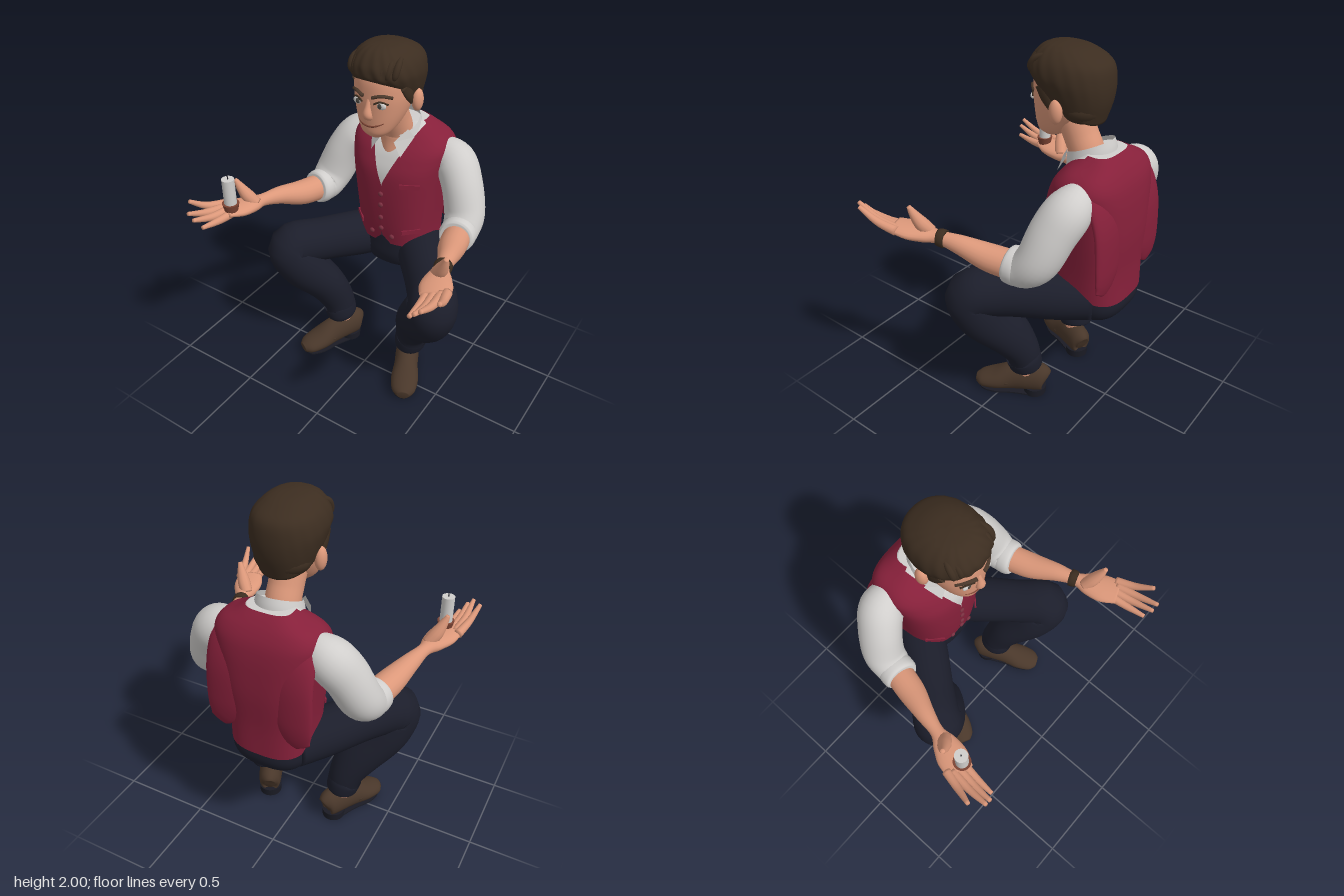
import * as THREE from 'three';

const V = (x, y, z) => new THREE.Vector3(x, y, z);

// Smoothly resample rows of numbers (Catmull-Rom)
function smooth(rows, k = 6) {
  const out = [], at = i => rows[Math.min(Math.max(i, 0), rows.length - 1)];
  for (let i = 0; i < rows.length - 1; i++)
    for (let j = 0; j < k; j++) {
      const t = j / k, a = at(i - 1), d = at(i + 2), b = at(i), c = at(i + 1);
      out.push(b.map((p, n) => 0.5 * (2 * p + (c[n] - a[n]) * t + (2 * a[n] - 5 * p + 4 * c[n] - d[n]) * t * t
        + (3 * p - a[n] - 3 * c[n] + d[n]) * t * t * t)));
    }
  out.push(rows[rows.length - 1]);
  return out;
}

// Skin a list of point rings; closed rings get end caps
function skin(rings, closed = true) {
  const n = rings[0].length, pos = [], idx = [];
  rings.forEach(r => r.forEach(p => pos.push(p.x, p.y, p.z)));
  for (let i = 0; i < rings.length - 1; i++)
    for (let j = 0; j < (closed ? n : n - 1); j++) {
      const a = i * n + j, b = i * n + (j + 1) % n;
      idx.push(a, b, a + n, b, b + n, a + n);
    }
  if (closed) [0, rings.length - 1].forEach((i, top) => {
    const c = V(0, 0, 0), id = pos.length / 3;
    rings[i].forEach(p => c.addScaledVector(p, 1 / n));
    pos.push(c.x, c.y, c.z);
    for (let j = 0; j < n; j++) {
      const a = i * n + j, b = i * n + (j + 1) % n;
      idx.push(id, top ? a : b, top ? b : a);
    }
  });
  const g = new THREE.BufferGeometry();
  g.setAttribute('position', new THREE.Float32BufferAttribute(pos, 3));
  g.setIndex(idx);
  g.computeVertexNormals();
  return g;
}

// Limb along rows [x, y, z, r1, r2]; s mirrors x, ref sets the section's orientation
function limb(rows, { s = 1, ref = V(1, 0, 0), seg = 16, k = 6 } = {}) {
  const pts = smooth(rows.map(r => [r[0] * s, r[1], r[2], r[3], r[4] ?? r[3]]), k);
  const P = pts.map(p => V(p[0], p[1], p[2]));
  return skin(pts.map((p, i) => {
    const t = P[Math.min(i + 1, P.length - 1)].clone().sub(P[Math.max(i - 1, 0)]).normalize();
    const a = ref.clone().cross(t).normalize(), b = t.clone().cross(a);
    return Array.from({ length: seg }, (_, j) => {
      const q = j / seg * Math.PI * 2;
      return P[i].clone().addScaledVector(a, p[3] * Math.cos(q)).addScaledVector(b, p[4] * Math.sin(q));
    });
  }));
}

// Upright body from rows [y, zCentre, rx, rz, tilt]; n and nb square off front and back,
// gap(y) is the half width of a front opening
function body(rows, { n = 2.2, nb = n, seg = 48, gap = null, ripple = () => 1 } = {}) {
  return skin(smooth(rows).map(([y, zc, rx, rz, tilt = 0]) => {
    const w = gap ? Math.min(Math.max(gap(y), 0), rx * 0.97) : 0;
    const a0 = Math.asin(Math.pow(w / rx, n / 2));
    return Array.from({ length: seg }, (_, j) => {
      const q = gap ? a0 + (2 * Math.PI - 2 * a0) * j / (seg - 1) : j / seg * 2 * Math.PI;
      const e = 2 / (Math.cos(q) < 0 ? nb : n), m = ripple(q, y);
      const f = v => Math.sign(v) * Math.pow(Math.abs(v), e);
      return V(rx * m * f(Math.sin(q)), y + tilt * f(Math.cos(q)), zc + rz * m * f(Math.cos(q)));
    });
  }), !gap);
}

// Front depth of a body at (x, y)
function frontZ(rows, x, y, n = 2.2) {
  const r = smooth(rows), i = Math.max(1, r.findIndex(e => e[0] >= y));
  const t = (y - r[i - 1][0]) / (r[i][0] - r[i - 1][0]);
  const [, zc, rx, rz] = r[i].map((v, k) => r[i - 1][k] + (v - r[i - 1][k]) * t);
  return zc + rz * Math.pow(Math.max(0, 1 - Math.pow(Math.abs(x) / rx, n)), 1 / n);
}

export function createModel() {
  const model = new THREE.Group();
  const M = {};
  Object.entries({ skin: 0xdc987a, hair: 0x3c2d20, shirt: 0xd0cecc, vest: 0x86203a, vestTrim: 0x7a3040,
    trousers: 0x1c1e2b, shoe: 0x49372a, sole: 0x1a1b24, iris: 0x4a4640, lips: 0x7c4434 }).forEach(([k, c]) => {
    M[k] = new THREE.MeshStandardMaterial({ color: c });
    M[k].name = k;
  });
  M.vest.side = M.shirt.side = THREE.DoubleSide;
  const add = (name, geo, mat, x = 0, y = 0, z = 0, parent = model) => {
    const m = new THREE.Mesh(geo, M[mat]);
    m.name = name;
    m.position.set(x, y, z);
    parent.add(m);
    return m;
  };
  const ball = (name, mat, x, y, z, a, b, c) => add(name, new THREE.SphereGeometry(1, 24, 16), mat, x, y, z).scale.set(a, b, c);
  const UP = V(0, 1, 0);

  // Torso: vest with a V opening over a shirt
  const torso = [[.775, -.395, .217, .207, .03], [.92, -.385, .225, .215, .01], [1.1, -.385, .245, .225, 0], [1.25, -.385, .265, .22, 0],
    [1.34, -.395, .28, .2, 0], [1.4, -.405, .28, .175, 0], [1.45, -.415, .245, .14, 0], [1.49, -.42, .17, .105, 0], [1.52, -.42, .12, .075, 0]];
  add('vest', body(torso, { n: 2.5, nb: 3, seg: 64, gap: y => y > 1 ? (y - 1.2) * .44 : (.84 - y) * .8 }), 'vest');
  add('shirtBody', body(torso.slice(2).map(r => [r[0], r[1], r[2] * .965, r[3] * .965]), { n: 2.5 }), 'shirt');
  add('pelvis', body([[.595, -.39, .1, .1], [.635, -.395, .18, .17], [.7, -.4, .213, .2], [.78, -.397, .213, .2], [.84, -.392, .208, .195]],
    { n: 2.4, nb: 2.8 }), 'trousers');
  const tz = (x, y) => frontZ(torso, x, y, 2.5);
  [[0, 1.14], [0, 1.07], [0, .985], [0, .91], [.065, .865], [-.065, .865]].forEach(([x, y]) =>
    ball('vestButton', 'vestTrim', x, y, tz(x, y) + .003, .015, .015, .009));
  [[.16, 1.22, .11], [.165, .915, .11], [-.165, .915, .11]].forEach(([x, y, w]) => {
    const p = add('pocketWelt', new THREE.BoxGeometry(w, .026, .009), 'vest', x, y, tz(x, y) + .002);
    p.rotation.y = -Math.atan2(tz(x + .04, y) - tz(x - .04, y), .08);
  });

  // Collar and neck
  add('collar', body([[1.45, -.345, .128, .125, -.05], [1.49, -.34, .118, .122, -.05], [1.525, -.335, .108, .115, -.05]],
    { n: 2, gap: y => .075 - (y - 1.45) * .2 }), 'shirt');
  add('neck', limb([[0, 1.33, -.26, .05], [0, 1.42, -.305, .085], [0, 1.48, -.312, .088], [0, 1.56, -.275, .087], [0, 1.64, -.24, .09]], { seg: 24 }), 'skin');

  // Head
  const head = [[1.53, -.11, .04, .04], [1.56, -.125, .078, .083], [1.61, -.15, .108, .115], [1.68, -.175, .133, .145],
    [1.76, -.19, .147, .163], [1.85, -.2, .143, .165], [1.92, -.2, .1, .12]];
  const hz = (x, y) => frontZ(head, x, y);
  add('head', body(head), 'skin');
  add('nose', limb([[0, 1.76, -.04, .01, .012], [0, 1.715, -.028, .015, .015], [0, 1.672, -.022, .022, .025], [0, 1.65, -.036, .014, .022]]), 'skin');
  add('mouth', limb([-.07, -.035, 0, .035, .075].map((x, i) => {
    const y = [1.62, 1.608, 1.604, 1.61, 1.628][i];
    return [x, y, hz(x, y), i % 4 ? .005 : .002];
  }), { ref: UP, seg: 8 }), 'lips');

  // Hair: swept-back cap with strands, rounded nape and a raised quiff
  const ripple = (q, y) => 1 + .014 * Math.sin(q * 18 + y * 25) * Math.pow(.5 + .5 * Math.cos(q), .7)
    * THREE.MathUtils.smoothstep(y, 1.74, 1.84);
  add('hair', body([[1.74, -.215, .15, .176, .1], [1.8, -.22, .169, .203, .055], [1.86, -.22, .178, .21, .02], [1.92, -.214, .163, .197, 0],
    [1.965, -.198, .126, .147, 0], [1.99, -.185, .08, .09, 0], [2, -.18, .015, .015, 0]], { seg: 96, ripple }), 'hair');
  ball('hairNape', 'hair', 0, 1.715, -.3, .143, .085, .112);
  for (let i = 0; i < 9; i++) {
    const x = (i - 4) * .031, b = 2.4 * x * x;
    add('quiffLock', limb([[x * .9 - .008, 1.84 + .008 * (i % 3), -.05 - b, .006], [x, 1.88, -.029 - b, .016],
      [x + .004, 1.93, -.055 - b, .017], [x * .8 + .008, 1.962, -.13 - b, .008]], { seg: 10 }), 'hair');
  }

  // Both sides of the body
  [1, -1].forEach(s => {
    const L = (name, rows, mat, o = {}) => add(name, limb(rows, { s, ...o }), mat);

    // Face details
    ball('ear', 'skin', s * .16, 1.712, -.235, .029, .06, .035);
    const e = hz(.065, 1.727);
    ball('eye', 'shirt', s * .065, 1.727, e - .003, .029, .02, .012);
    ball('iris', 'iris', s * .063, 1.727, e + .006, .012, .014, .006);
    L('upperLid', [.034, .065, .098].map((x, i) => [x, i === 1 ? 1.749 : 1.735, hz(x, 1.74) + .004, .005]), 'hair', { ref: UP, seg: 8 });
    L('eyebrow', [[.025, 1.767], [.07, 1.78], [.112, 1.768]].map(([x, y], i) => [x, y, hz(x, y) + .002, .008, .017 - i * .004]),
      'shoe', { ref: V(0, 0, 1), seg: 10 });
    L('sideburn', [[.14, 1.82, -.14, .04, .014], [.146, 1.76, -.175, .034, .014], [.146, 1.705, -.2, .01, .006]], 'hair', { seg: 10 });

    // Collar wing and loose vest back
    const wing = new THREE.BufferGeometry().setFromPoints([V(s * .045, 1.45, -.207), V(s * .09, 1.375, -.2), V(s * .13, 1.475, -.275),
      V(s * .045, 1.45, -.207), V(s * .13, 1.475, -.275), V(s * .095, 1.515, -.265)]);
    if (s < 0) wing.setIndex([0, 2, 1, 3, 5, 4]);
    wing.computeVertexNormals();
    add('collarWing', wing, 'shirt');
    L('vestBackFlap', [[.18, 1.42, -.46, .03, .08], [.178, 1.33, -.52, .04, .105], [.178, 1.2, -.562, .034, .112], [.186, 1.02, -.574, .028, .107],
      [.212, .92, -.574, .02, .082], [.24, .868, -.572, .008, .048]], 'vest', { seg: 24 });

    // Sleeve with rolled cuff
    L('sleeve', [[.2, 1.34, -.425, .08, .1], [.3, 1.315, -.42, .115, .115], [.372, 1.22, -.383, .118, .11], [.425, 1.08, -.335, .11, .11],
      [.442, 1.015, -.265, .098, .1], [.448, 1.015, -.2, .088, .09]], 'shirt', { seg: 28 });
    L('sleeveCuff', [[.444, 1.013, -.25, .09], [.447, 1.013, -.235, .098], [.452, 1.015, -.19, .096], [.455, 1.017, -.172, .082]], 'shirt', { seg: 28, k: 3 });

    // Forearm, palm, fingers, thumb
    L('forearm', [[.45, 1.01, -.22, .075], [.485, 1.025, -.08, .072, .07], [.53, 1.065, .06, .05], [.56, 1.083, .17, .036, .034],
      [.58, 1.088, .24, .062, .036], [.607, 1.096, .32, .08, .033], [.637, 1.11, .4, .068, .022]], 'skin', { ref: UP, seg: 20 });
    [[[.68, 1.112, .35], [.708, 1.145, .45], [.735, 1.21, .54]], [[.66, 1.108, .37], [.675, 1.135, .49], [.68, 1.19, .607]],
      [[.63, 1.105, .38], [.643, 1.117, .49], [.65, 1.16, .607]], [[.595, 1.1, .36], [.607, 1.098, .47], [.615, 1.115, .585]]].forEach(f =>
      L('finger', f.map((p, i) => [...p, [.025, .02, .011][i]]), 'skin', { ref: UP, seg: 12 }));
    L('thumb', [[.56, 1.095, .23, .034], [.592, 1.145, .255, .036], [.617, 1.2, .275, .025], [.635, 1.25, .29, .011]], 'skin', { seg: 12 });

    // Trouser leg, turn-up and ankle
    L('trouserLeg', [[.1, .73, -.44, .125, .13], [.21, .735, -.28, .135, .135], [.36, .745, -.08, .128, .125], [.468, .735, .06, .135, .135],
      [.42, .6, .03, .138, .15], [.325, .45, -.055, .115, .13], [.27, .32, -.105, .1, .1], [.25, .22, -.115, .092, .085]],
      'trousers', { seg: 28 });
    L('trouserTurnUp', [[.266, .28, -.11, .096, .09], [.262, .27, -.112, .102, .096], [.248, .21, -.116, .098, .09], [.246, .2, -.117, .086, .08]],
      'trousers', { seg: 28, k: 3 });
    L('ankle', [[.25, .25, -.115, .06], [.235, .12, -.12, .055]], 'skin');

    // Shoe, pointing outward
    const foot = new THREE.Group();
    foot.name = 'foot';
    foot.position.set(s * .275, 0, -.03);
    foot.rotation.y = s * .45;
    model.add(foot);
    const upper = limb([[0, .1, -.205, .03, .05], [0, .105, -.185, .06, .085], [0, .105, -.1, .069, .092], [0, .09, -.01, .07, .082],
      [0, .065, .08, .08, .06], [0, .048, .16, .068, .043], [0, .042, .198, .035, .028]], { ref: UP, seg: 24 });
    const p = upper.attributes.position;
    for (let i = 0; i < p.count; i++) p.setY(i, Math.max(p.getY(i), p.getZ(i) < -.065 ? .04 : .006));
    upper.computeVertexNormals();
    add('shoeUpper', upper, 'shoe', 0, 0, 0, foot);
    add('shoeStrap', limb([[-.068, .075, .02, .008, .022], [-.045, .13, .01, .008, .022], [0, .157, .008, .008, .022], [.045, .13, .01, .008, .022],
      [.068, .075, .02, .008, .022]], { ref: V(0, 0, 1), seg: 10 }), 'shoe', 0, 0, 0, foot);
    const outline = new THREE.Shape(new THREE.SplineCurve([[0, .19], [.05, .16], [.068, .08], [.056, -.02], [.055, -.15], [.03, -.19], [-.03, -.19],
      [-.055, -.15], [-.056, -.02], [-.068, .08], [-.05, .16], [0, .19]].map(q => new THREE.Vector2(...q))).getPoints(48));
    add('shoeSole', new THREE.ExtrudeGeometry(outline, { depth: .009, bevelEnabled: false }).rotateX(Math.PI / 2), 'sole', 0, .01, 0, foot);
    add('shoeHeel', new THREE.CylinderGeometry(.066, .064, .045, 24), 'sole', 0, .0235, -.14, foot);
  });

  // Bracelet on the left wrist
  add('bracelet', limb([[.551, 1.079, .14, .036], [.552, 1.079, .143, .047], [.561, 1.085, .176, .044], [.562, 1.085, .179, .034]],
    { ref: UP, seg: 24, k: 2 }), 'hair');

  // Candle resting on the right palm
  add('candleHolder', new THREE.CylinderGeometry(.046, .036, .045, 28), 'lips', -.6, 1.14, .38);
  add('candle', new THREE.CylinderGeometry(.034, .034, .15, 28), 'shirt', -.6, 1.234, .38);
  add('candleWick', new THREE.CylinderGeometry(.002, .004, .03, 8), 'sole', -.6, 1.32, .38);
  return model;
}
